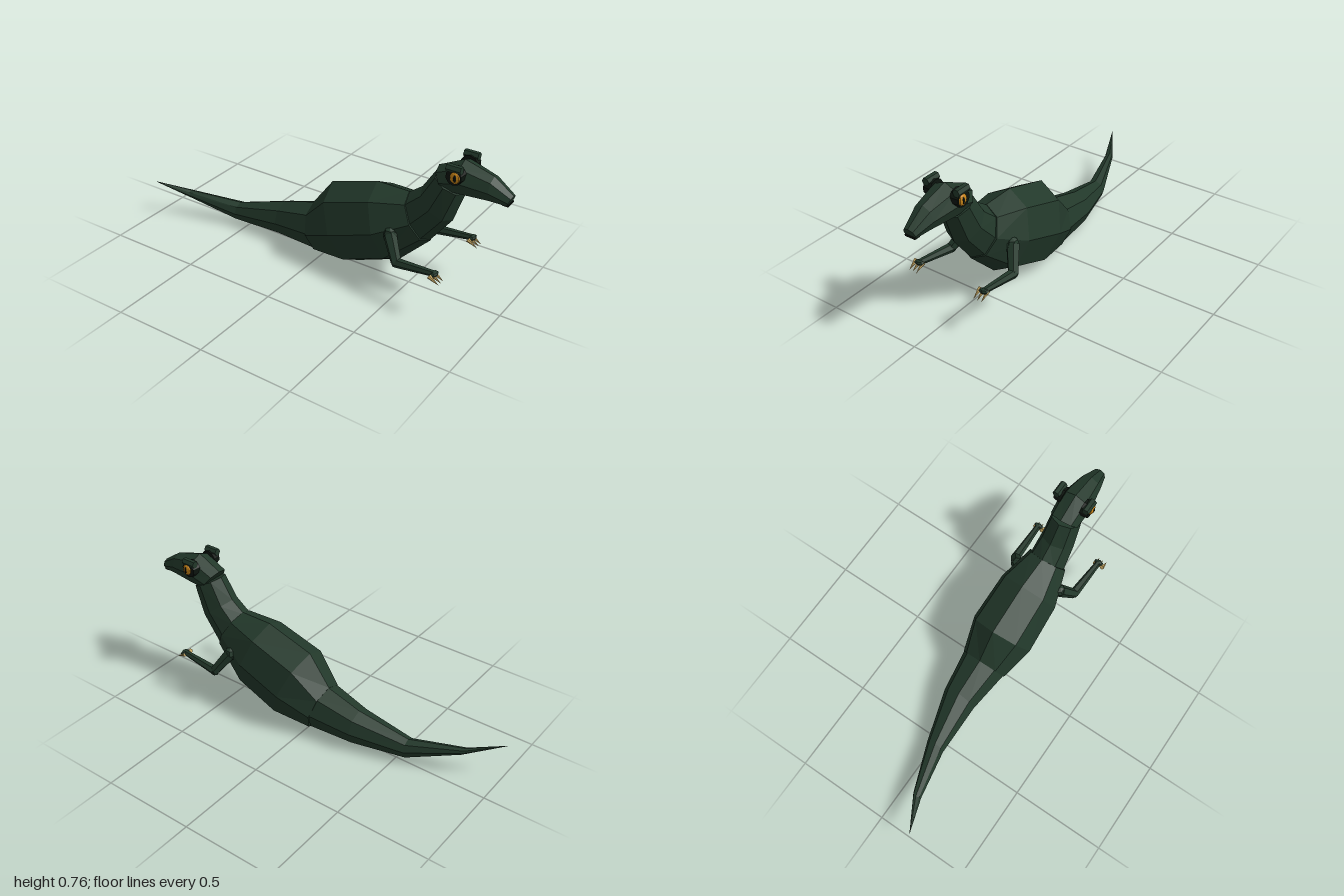
import * as THREE from 'three';

const AXIS_Z = -0.018;
const mat = (color) => new THREE.MeshStandardMaterial({ color, flatShading: true });
const skin = mat(0x22382a);
const dark = mat(0x0c140e);
const amber = mat(0xc98518);
const horn = mat(0xc4a55f);

// Eight-sided loft; each section is [topX, topY, bottomX, bottomY, halfWidth, centreZ]
function loft(name, sections, sides = 8) {
  const pos = [], idx = [];
  const centres = sections.map(([tx, ty, bx, by, w, z = AXIS_Z]) => {
    const c = new THREE.Vector3((tx + bx) / 2, (ty + by) / 2, z);
    for (let j = 0; j < sides; j++) {
      const a = (j / sides) * Math.PI * 2;
      pos.push(c.x + (tx - c.x) * Math.cos(a), c.y + (ty - c.y) * Math.cos(a), z + w * Math.sin(a));
    }
    return c;
  });
  const last = sections.length - 1;
  for (let i = 0; i < last; i++) {
    for (let j = 0; j < sides; j++) {
      const k = (j + 1) % sides;
      const a = i * sides + j, b = i * sides + k;
      idx.push(a, b, a + sides, b, b + sides, a + sides);
    }
  }
  // End caps
  const start = pos.length / 3;
  pos.push(...centres[0].toArray(), ...centres[last].toArray());
  for (let j = 0; j < sides; j++) {
    const k = (j + 1) % sides;
    idx.push(start, k, j, start + 1, last * sides + j, last * sides + k);
  }
  const g = new THREE.BufferGeometry();
  g.setAttribute('position', new THREE.Float32BufferAttribute(pos, 3));
  g.setIndex(idx);
  g.computeVertexNormals();
  const m = new THREE.Mesh(g, skin);
  m.name = name;
  return m;
}

// Tapered rod from point a to point b
function rod(name, a, b, ra, rb, material, sides = 6) {
  const A = new THREE.Vector3(...a), B = new THREE.Vector3(...b);
  const dir = B.clone().sub(A);
  const m = new THREE.Mesh(new THREE.CylinderGeometry(rb, ra, dir.length(), sides), material);
  m.position.copy(A).add(B).multiplyScalar(0.5);
  m.quaternion.setFromUnitVectors(new THREE.Vector3(0, 1, 0), dir.normalize());
  m.name = name;
  return m;
}

function ball(name, p, scale, material, w = 8, h = 6) {
  const m = new THREE.Mesh(new THREE.SphereGeometry(1, w, h), material);
  m.position.set(...p);
  m.scale.set(...scale);
  m.name = name;
  return m;
}

function createArm(s) {
  const arm = new THREE.Group();
  arm.name = s > 0 ? 'leftArm' : 'rightArm';
  const shoulder = [0.45, 0.32, AXIS_Z + s * 0.135];
  const elbow = [0.52, 0.213, AXIS_Z + s * 0.187];
  const wrist = [0.735, 0.24, s * 0.193 - 0.008];
  arm.add(
    ball('shoulder', shoulder, [0.036, 0.036, 0.03], skin, 6, 4),
    rod('upperArm', shoulder, elbow, 0.034, 0.026, skin),
    ball('elbow', elbow, [0.027, 0.027, 0.025], skin, 6, 4),
    rod('forearm', elbow, wrist, 0.025, 0.015, skin),
    ball('hand', wrist, [0.018, 0.013, 0.028], skin, 6, 4)
  );
  // Three claws pointing forward and down
  for (const d of [-0.022, 0, 0.022]) {
    const z = s * 0.193 + d;
    arm.add(rod('claw', [0.722, 0.238, z], [0.776, 0.206, z], 0.012, 0, horn));
  }
  return arm;
}

function createEye(s) {
  const eye = new THREE.Group();
  eye.name = s > 0 ? 'leftEye' : 'rightEye';
  const z = (d) => AXIS_Z + s * d;
  eye.add(
    rod('eyeSocket', [0.745, 0.702, z(0.055)], [0.745, 0.702, z(0.099)], 0.046, 0.04, dark, 10),
    ball('eyeball', [0.753, 0.702, z(0.097)], [0.027, 0.029, 0.013], amber, 10, 8),
    ball('pupil', [0.756, 0.702, z(0.107)], [0.009, 0.018, 0.005], dark, 6, 6),
    rod('brow', [0.705, 0.74, z(0.086)], [0.78, 0.74, z(0.086)], 0.02, 0.02, skin)
  );
  return eye;
}

export function createModel() {
  const model = new THREE.Group();
  model.name = 'reptile';

  model.add(
    loft('tail', [
      [-1.0, 0.193, -1.0, 0.191, 0.001, 0.195],
      [-0.83, 0.15, -0.81, 0.108, 0.024, 0.105],
      [-0.55, 0.125, -0.56, 0.02, 0.05, 0.022],
      [-0.28, 0.2, -0.28, 0.012, 0.092],
      [-0.05, 0.27, -0.04, 0.008, 0.125],
    ]),
    loft('body', [
      [-0.09, 0.26, -0.02, 0.0, 0.128],
      [0.03, 0.42, 0.2, 0.008, 0.175],
      [0.29, 0.5, 0.43, 0.1, 0.165],
      [0.47, 0.5, 0.6, 0.27, 0.108],
    ]),
    loft('neck', [
      [0.46, 0.49, 0.58, 0.25, 0.1],
      [0.54, 0.55, 0.71, 0.42, 0.09],
      [0.61, 0.66, 0.765, 0.58, 0.081],
    ]),
    loft('head', [
      [0.62, 0.69, 0.7, 0.582, 0.078],
      [0.75, 0.755, 0.765, 0.58, 0.086],
      [0.9, 0.712, 0.9, 0.588, 0.06],
      [1.0, 0.643, 0.98, 0.588, 0.035],
    ])
  );

  // Mouth slit at the tip of the snout
  const mouth = new THREE.Mesh(new THREE.BoxGeometry(0.03, 0.009, 0.058), dark);
  mouth.position.set(0.975, 0.6, AXIS_Z);
  mouth.name = 'mouth';
  model.add(mouth);

  for (const s of [1, -1]) model.add(createArm(s), createEye(s));
  return model;
}
